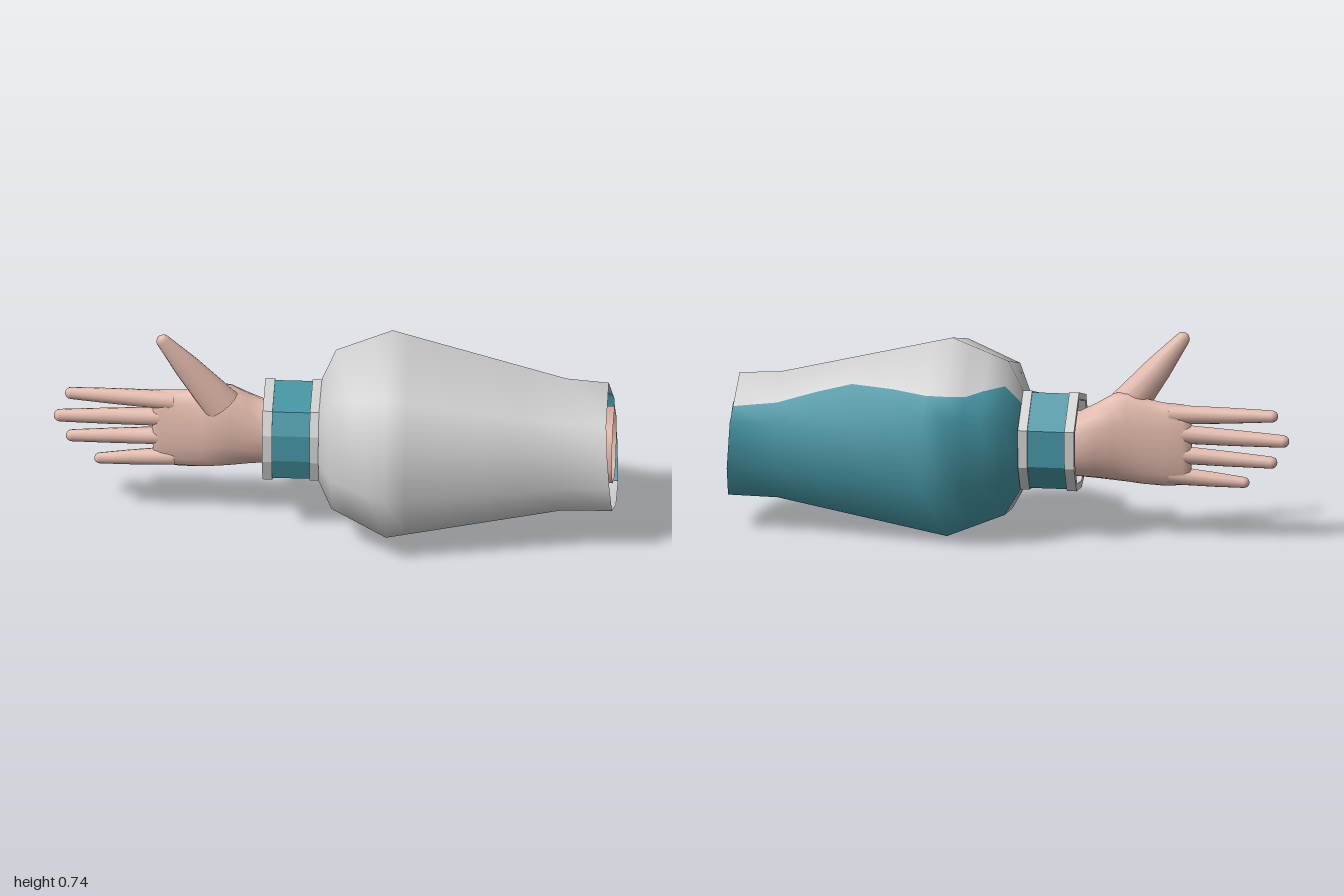
import * as THREE from 'three';

// Nine-sided sleeve section as [z, y], each 0..1 within its bounding box,
// running from the top round the back, the bottom and the front.
const SECTION = [[-0.095, 0.72], [-0.365, 0.485], [-0.357, 0.213], [-0.225, 0.027], [0.035, 0],
  [0.308, 0.1], [0.367, 0.265], [0.36, 0.467], [0.275, 0.627]]
  .map(([z, y]) => [(z + 0.365) / 0.732, y / 0.72]);
const CORNERS = [0, 1, 2, 3, 4, 5, 6, 7, 8];

// Section point at t (corner number plus fraction) in box [z0, z1, y0, y1]
function sectionPoint(x, [z0, z1, y0, y1], t) {
  const i = Math.floor(t), f = t - i;
  const a = SECTION[i % 9], b = SECTION[(i + 1) % 9];
  const u = a[0] + (b[0] - a[0]) * f, v = a[1] + (b[1] - a[1]) * f;
  return [x, y0 + (y1 - y0) * v, z0 + (z1 - z0) * u];
}
const sectionRing = (x, box, ts = CORNERS) => ts.map((t) => sectionPoint(x, box, t));
const inset = ([a, b, c, d], n) => [a + n, b - n, c + n, d - n];

// Smooth oval ring used for the hand
function ovalRing(x, [z0, z1, y0, y1], n = 16) {
  return Array.from({ length: n }, (_, i) => {
    const a = (i / n) * Math.PI * 2;
    return [x, (y0 + y1) / 2 + Math.cos(a) * (y1 - y0) / 2, (z0 + z1) / 2 - Math.sin(a) * (z1 - z0) / 2];
  });
}

// Skin closed rings; slot(column) picks the material group
function loft(rings, slot = () => 0) {
  const n = rings[0].length, geo = new THREE.BufferGeometry(), index = [];
  for (const wanted of [0, 1]) {
    const start = index.length;
    for (let j = 0; j < rings.length - 1; j++) {
      for (let i = 0; i < n; i++) {
        if (slot(i) !== wanted) continue;
        const a = j * n + i, c = j * n + (i + 1) % n;
        index.push(a, a + n, c, c, a + n, c + n);
      }
    }
    if (index.length > start) geo.addGroup(start, index.length - start, wanted);
  }
  geo.setAttribute('position', new THREE.Float32BufferAttribute(rings.flat(2), 3));
  geo.setIndex(index);
  geo.computeVertexNormals();
  return geo;
}
function faceted(geo) {
  const g = geo.toNonIndexed();
  geo.groups.forEach((s) => g.addGroup(s.start, s.count, s.materialIndex));
  g.computeVertexNormals();
  return g;
}

export function createModel() {
  const model = new THREE.Group();
  model.name = 'sleevedArm';
  const make = (name, color) => {
    const m = new THREE.MeshStandardMaterial({ color, side: THREE.DoubleSide });
    m.name = name;
    return m;
  };
  const grey = make('light grey', 0xd0d0d0);
  const teal = make('teal', 0x4494a2);
  const skin = make('skin', 0xe0b8aa);
  const add = (name, geo, mat, parent = model) => {
    const mesh = new THREE.Mesh(geo, mat);
    mesh.name = name;
    parent.add(mesh);
    return mesh;
  };

  // Flared sleeve: main sections, with the teal back panel between two wavy seams
  const shape = [
    [-0.05, [-0.2, 0.145, 0.17, 0.53]],
    [0, [-0.285, 0.25, 0.08, 0.64]],
    [0.2, [-0.365, 0.367, 0, 0.72]],
    [0.82, [-0.23, 0.235, 0.108, 0.565]],
    [0.98, [-0.22, 0.23, 0.11, 0.555]],
  ];
  const boxAt = (x) => {
    let k = 0;
    while (k < shape.length - 2 && x > shape[k + 1][0]) k++;
    const [xa, a] = shape[k], [xb, b] = shape[k + 1], f = (x - xa) / (xb - xa);
    return a.map((v, i) => v + (b[i] - v) * f);
  };
  // x, upper seam, lower seam
  const seams = [[-0.05, 0.3, 3.05], [0, 0.4, 3.05], [0.07, 0.55, 3.05], [0.13, 0.68, 3.1], [0.2, 0.72, 3.1],
    [0.27, 0.69, 3.2], [0.4, 0.56, 3.22], [0.55, 0.42, 3.15], [0.68, 0.48, 3.1], [0.82, 0.6, 3.05], [0.98, 0.67, 3.02]];
  const sleeveRings = seams.map(([x, a, b]) => sectionRing(x, boxAt(x), [a, 1, 2, 3, b, 4, 5, 6, 7, 8, 9]));
  // Slightly slanted opening
  sleeveRings.at(-1).forEach((p) => { p[0] = 0.97 + 0.03 * (0.555 - p[1]) / 0.445; });
  add('sleeve', loft(sleeveRings, (i) => (i < 4 ? 1 : 0)), [grey, teal]);

  // Cuff: grey rims and lining around a teal band
  const cuff = new THREE.Group();
  cuff.name = 'cuff';
  model.add(cuff);
  const outer = [-0.19, 0.14, 0.17, 0.53], band = inset(outer, 0.006), lining = inset(outer, 0.025);
  add('outerRim', faceted(loft([
    sectionRing(-0.06, lining), sectionRing(-0.25, lining), sectionRing(-0.25, outer),
    sectionRing(-0.215, outer), sectionRing(-0.215, band),
  ])), grey, cuff);
  add('innerRim', faceted(loft([
    sectionRing(-0.082, band), sectionRing(-0.082, outer), sectionRing(-0.045, outer),
  ])), grey, cuff);
  add('cuffBand', faceted(loft([sectionRing(-0.215, band), sectionRing(-0.082, band)],
    (i) => (i === 4 ? 0 : 1))), [grey, teal], cuff);
  add('cuffWall', loft([sectionRing(-0.055, inset(outer, 0.16)), sectionRing(-0.055, outer)]), grey, cuff);

  // Oval stud under the cuff
  const p = sectionPoint(0, band, 4), q = sectionPoint(0, band, 5);
  const stud = add('cuffStud', new THREE.CylinderGeometry(0.5, 0.5, 0.006, 20), teal, cuff);
  stud.position.set(-0.148, (p[1] + q[1]) / 2, (p[2] + q[2]) / 2);
  stud.rotation.x = -Math.atan2(q[1] - p[1], q[2] - p[2]);
  stud.scale.set(0.1, 1, 0.06);

  // Open forearm inside the sleeve
  add('forearm', loft([
    sectionRing(-0.05, [-0.13, 0.055, 0.22, 0.45]),
    sectionRing(0.7, [-0.145, 0.07, 0.205, 0.45]),
    sectionRing(0.99, [-0.173, 0.093, 0.182, 0.452]),
  ]), skin);

  // Hand: palm and wrist
  const hand = new THREE.Group();
  hand.name = 'hand';
  model.add(hand);
  add('palm', loft([
    [-0.65, [-0.04, -0.036, 0.3, 0.38]],
    [-0.645, [-0.055, -0.015, 0.22, 0.47]],
    [-0.62, [-0.067, -0.003, 0.198, 0.492]],
    [-0.55, [-0.075, 0.015, 0.192, 0.495]],
    [-0.47, [-0.085, 0.035, 0.195, 0.508]],
    [-0.42, [-0.09, 0.045, 0.2, 0.53]],
    [-0.37, [-0.098, 0.047, 0.205, 0.522]],
    [-0.31, [-0.11, 0.045, 0.212, 0.487]],
    [-0.25, [-0.118, 0.043, 0.217, 0.457]],
    [-0.05, [-0.12, 0.045, 0.22, 0.45]],
  ].map(([x, box]) => ovalRing(x, box)), ), skin, hand);

  // Tapered digit pointing along local -x with a rounded tip
  const digit = (name, base, tip, r0, r1, flat) => {
    const from = new THREE.Vector3(...base), dir = new THREE.Vector3(...tip).sub(from);
    const L = dir.length(), rings = [];
    for (const a of [0.03, 0.35, 0.75, 1.15, 1.57]) rings.push([-L + r1 * (1 - Math.sin(Math.PI / 2 - a + 0) ), r1 * Math.sin(a)]);
    rings.push([-L * 0.55, r1 * 0.5 + r0 * 0.5], [0, r0]);
    const geo = loft(rings.map(([x, r]) => ovalRing(x, [-r * flat, r * flat, -r, r], 12)));
    const mesh = add(name, geo, skin, hand);
    mesh.position.copy(from);
    mesh.quaternion.setFromUnitVectors(new THREE.Vector3(-1, 0, 0), dir.normalize());
  };
  digit('indexFinger', [-0.57, 0.452, -0.03], [-0.96, 0.463, -0.045], 0.036, 0.022, 0.9);
  digit('middleFinger', [-0.57, 0.385, -0.035], [-1, 0.372, -0.045], 0.036, 0.023, 0.9);
  digit('ringFinger', [-0.57, 0.31, -0.035], [-0.957, 0.293, -0.045], 0.034, 0.022, 0.9);
  digit('littleFinger', [-0.57, 0.232, -0.03], [-0.855, 0.213, -0.03], 0.034, 0.02, 0.9);
  digit('thumb', [-0.4, 0.455, 0], [-0.622, 0.735, 0.03], 0.07, 0.026, 0.75);

  return model;
}
